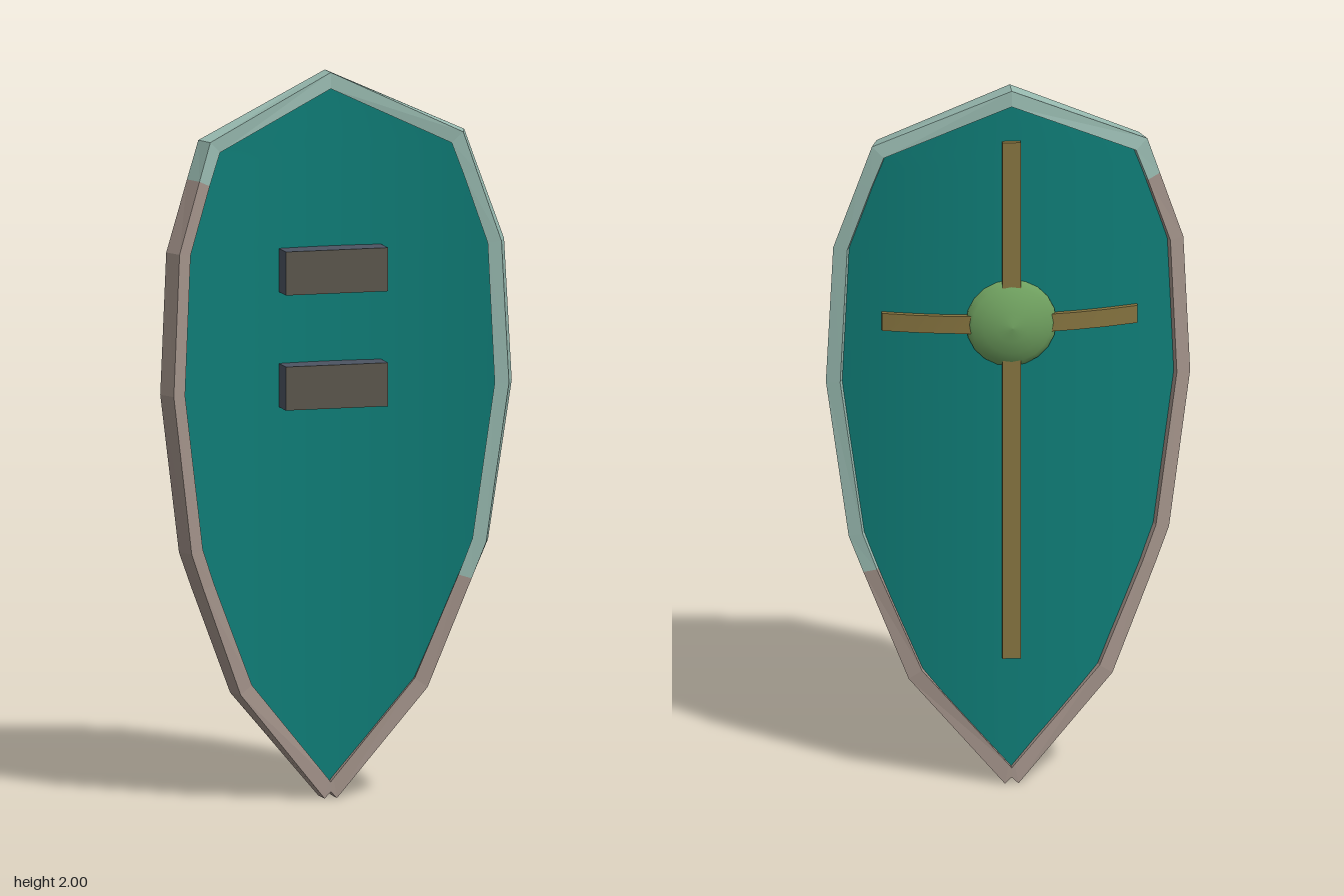
import * as THREE from 'three';

const mat = (name, color) => {
  const m = new THREE.MeshStandardMaterial({ color });
  m.name = name;
  return m;
};

// bowed surface: depth and slope across the width
const bow = x => -0.04 + 0.45 * x * x;
const slope = x => 0.9 * x;

// half outline, top to bottom: outer x, y, inner x, y
const OUTLINE = [
  [0, 2.0, 0, 1.955],
  [0.368, 1.83, 0.337, 1.8],
  [0.403, 1.725, 0.37, 1.71],
  [0.468, 1.53, 0.432, 1.525],
  [0.487, 1.14, 0.45, 1.14],
  [0.428, 0.7, 0.392, 0.71],
  [0.39, 0.6, 0.355, 0.61],
  [0.272, 0.3, 0.237, 0.325],
  [0.018, 0.0, 0.008, 0.055],
];

function halfWidth(y) {
  const mid = OUTLINE.map(([a, b, c, d]) => [(a + c) / 2, (b + d) / 2]);
  for (let i = 0; i < mid.length - 1; i++) {
    const [x0, y0] = mid[i], [x1, y1] = mid[i + 1];
    if (y <= y0 && y >= y1) return Math.max(0.004, x0 + (x1 - x0) * (y0 - y) / (y0 - y1));
  }
  return 0.004;
}

// move every vertex by a rule, then refresh the normals
function reshape(geo, rule) {
  const p = geo.attributes.position, v = new THREE.Vector3();
  for (let i = 0; i < p.count; i++) {
    rule(v.fromBufferAttribute(p, i));
    p.setXYZ(i, v.x, v.y, v.z);
  }
  geo.computeVertexNormals();
  return geo;
}

// four rim corners: outer front, outer back, inner back, inner front
function section([ox, oy, ix, iy]) {
  const corner = (x, y, d) => {
    const s = slope(x), len = Math.hypot(s, 1);
    return [x - d * s / len, y, bow(x) + d / len];
  };
  const h = 0.029;
  return [corner(ox, oy, h), corner(ox, oy, -h), corner(ix, iy, -h), corner(ix, iy, h)];
}

// faceted square tube through the given outline points
function rimGeometry(points) {
  const pos = [], s = points.map(section);
  for (let i = 0; i < s.length - 1; i++) {
    const a = s[i], b = s[i + 1];
    for (let k = 0; k < 4; k++) {
      const n = (k + 1) % 4;
      pos.push(...a[k], ...b[k], ...b[n], ...a[k], ...b[n], ...a[n]);
    }
  }
  const geo = new THREE.BufferGeometry();
  geo.setAttribute('position', new THREE.Float32BufferAttribute(pos, 3));
  geo.computeVertexNormals();
  return geo;
}

export function createModel() {
  const group = new THREE.Group();
  const teal = mat('panel teal', 0x0f7c76);
  const pale = mat('pale green metal', 0x9abcb2);
  const rose = mat('rosy grey metal', 0xa3938a);
  const bronze = mat('bronze', 0x85733f);
  const green = mat('boss green', 0x6fa05f);
  const brown = mat('grip brown', 0x5a564c);
  const slate = mat('grip slate', 0x4c5462);

  const add = (name, geo, material) => {
    const mesh = new THREE.Mesh(geo, material);
    mesh.name = name;
    group.add(mesh);
    return mesh;
  };

  // curved panel
  add('panel', reshape(new THREE.BoxGeometry(2, 1.94, 0.022, 20, 48, 1), v => {
    v.y += 1.0;
    v.x *= halfWidth(v.y);
    v.z += bow(v.x);
  }), teal);

  // rim, running clockwise from the top, with a small notch at the foot
  const left = OUTLINE;
  const foot = [0, 0.018, 0, 0.045];
  const right = OUTLINE.map(([a, b, c, d]) => [-a, b, -c, d]).reverse();
  const loop = [...left, foot, ...right];
  const leftSplit = 6, rightSplit = loop.length - 3;
  add('rimLeft', rimGeometry(loop.slice(0, leftSplit + 1)), pale);
  add('rimLower', rimGeometry(loop.slice(leftSplit, rightSplit + 1)), rose);
  add('rimTopRight', rimGeometry(loop.slice(rightSplit)), pale);

  // reinforcing bars on the back
  add('verticalBar', new THREE.BoxGeometry(0.05, 1.49, 0.02), bronze).position.set(0, 1.105, -0.056);
  add('crossBar', reshape(new THREE.BoxGeometry(0.7, 0.05, 0.022, 8, 1, 1), v => {
    v.y += 1.325;
    v.z += bow(v.x) - 0.016;
  }), bronze);

  // domed boss
  const profile = [[0.124, -0.012], [0.124, 0], [0.108, 0.013], [0.08, 0.028], [0.042, 0.041], [0, 0.047]]
    .map(([x, y]) => new THREE.Vector2(x, y));
  add('boss', new THREE.LatheGeometry(profile, 20).rotateX(-Math.PI / 2), green)
    .position.set(0, 1.325, -0.053);

  // hand grips
  for (const [name, y] of [['upperGrip', 1.46], ['lowerGrip', 1.143]]) {
    add(name, new THREE.BoxGeometry(0.29, 0.12, 0.08), [slate, slate, slate, slate, brown, brown])
      .position.set(0, y, 0.01);
  }

  return group;
}
